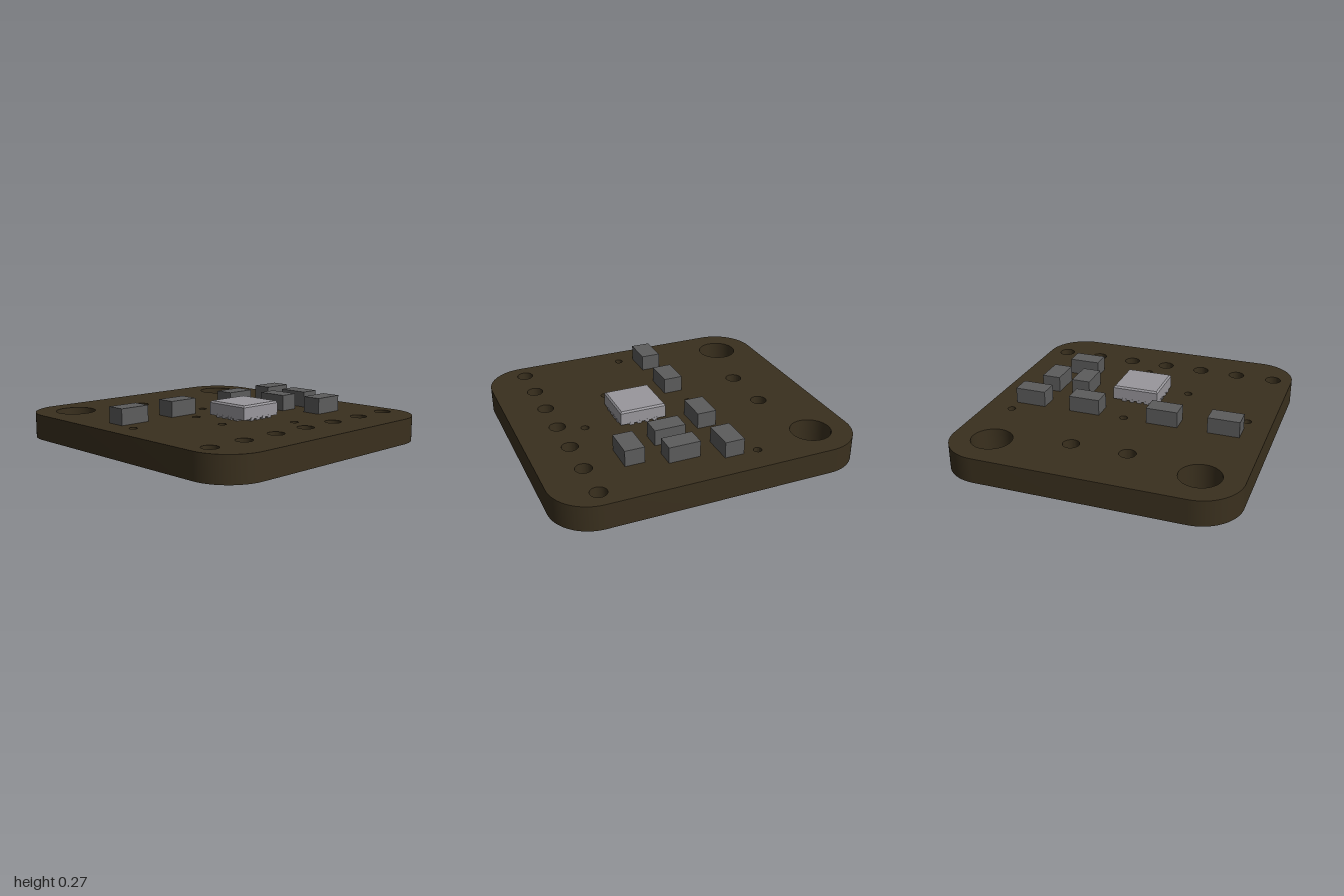
import * as THREE from 'three';
import { toCreasedNormals } from 'three/addons/utils/BufferGeometryUtils.js';

const T = 0.165; // board thickness

export function createModel() {
  const group = new THREE.Group();
  const boardMat = new THREE.MeshStandardMaterial({ color: 0x3a301e });
  const partMat = new THREE.MeshStandardMaterial({ color: 0x5c5c5c });
  const chipMat = new THREE.MeshStandardMaterial({ color: 0x99979c });

  const add = (name, geometry, material, x = 0, y = 0, z = 0, parent = group) => {
    const mesh = new THREE.Mesh(geometry, material);
    mesh.name = name;
    mesh.position.set(x, y, z);
    parent.add(mesh);
    return mesh;
  };

  // Board outline with rounded corners; shape y becomes world z
  const W = 1, D = 0.93, R = 0.265;
  const shape = new THREE.Shape();
  shape.absarc(W - R, D - R, R, 0, Math.PI / 2);
  shape.absarc(-W + R, D - R, R, Math.PI / 2, Math.PI);
  shape.absarc(-W + R, -D + R, R, Math.PI, Math.PI * 1.5);
  shape.absarc(W - R, -D + R, R, Math.PI * 1.5, Math.PI * 2);
  shape.closePath();

  const drill = (x, z, r) => {
    const hole = new THREE.Path();
    hole.absarc(x, z, r, 0, Math.PI * 2, true);
    shape.holes.push(hole);
  };
  // Mounting holes
  for (const z of [-0.667, 0.665]) drill(-0.735, z, 0.131);
  // Connector holes
  for (const z of [-0.18, 0.187]) drill(-0.63, z, 0.053);
  for (let i = -3; i <= 3; i++) drill(0.73, i * 0.2667, 0.053);
  // Vias
  const vias = [[-0.31, -0.747], [0.01, -0.24], [-0.19, 0], [0.57, -0.08],
    [0.01, 0.24], [0.305, 0.293], [0.025, 0.77]];
  for (const [x, z] of vias) drill(x, z, 0.026);

  const board = new THREE.ExtrudeGeometry(shape, { depth: T, bevelEnabled: false, curveSegments: 20 });
  board.rotateX(Math.PI / 2);
  board.translate(0, T, 0);
  add('board', toCreasedNormals(board, 0.6), boardMat);

  // Small block components: centre x, centre z, size x, size z
  const along = [0.127, 0.207], across = [0.205, 0.125];
  const blocks = [
    [-0.148, -0.653, along], [-0.148, -0.268, along], [-0.148, 0.264, along], [-0.148, 0.667, along],
    [0.145, -0.617, across], [0.145, -0.398, across], [0.437, -0.508, along],
  ];
  const blockH = 0.105;
  for (const [x, z, [w, d]] of blocks) {
    add('component', new THREE.BoxGeometry(w, blockH, d), partMat, x, T + blockH / 2, z);
  }

  // Chip: body with chamfered top, standing on small pads
  const chip = new THREE.Group();
  chip.name = 'chip';
  chip.position.set(0.2, T, -0.004);
  group.add(chip);
  const S = 0.31, lift = 0.01, bodyH = 0.08, lidH = 0.012;
  add('chipBody', new THREE.BoxGeometry(S, bodyH, S), chipMat, 0, lift + bodyH / 2, 0, chip);
  const lid = new THREE.BoxGeometry(S, lidH, S);
  const p = lid.attributes.position;
  for (let i = 0; i < p.count; i++) {
    if (p.getY(i) > 0) p.setXYZ(i, p.getX(i) * 0.94, p.getY(i), p.getZ(i) * 0.94);
  }
  lid.computeVertexNormals();
  add('chipLid', lid, chipMat, 0, lift + bodyH + lidH / 2, 0, chip);

  // Four pads on each side of the chip
  const padGeo = new THREE.BoxGeometry(0.03, 0.02, 0.05);
  for (let side = 0; side < 4; side++) {
    const row = new THREE.Group();
    row.name = 'padRow';
    row.rotation.y = side * Math.PI / 2;
    chip.add(row);
    for (let i = 0; i < 4; i++) {
      add('pad', padGeo, chipMat, (i - 1.5) * 0.053, 0.01, S / 2 - 0.024, row);
    }
  }
  return group;
}
